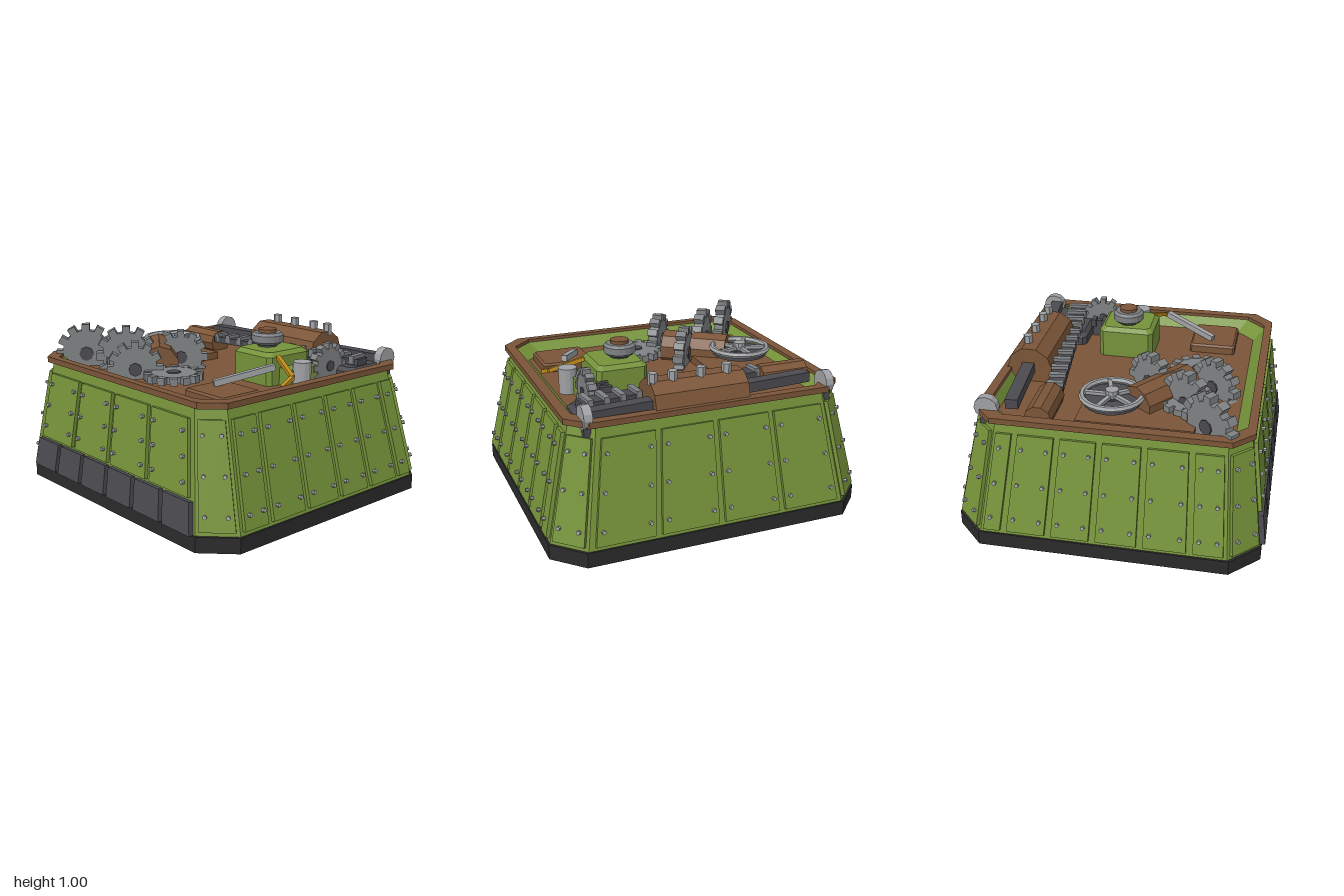
import * as THREE from 'three';
import { mergeGeometries } from 'three/addons/utils/BufferGeometryUtils.js';

const mat = (name, color) => {
  const m = new THREE.MeshStandardMaterial({ color });
  m.name = name;
  return m;
};
const V = (x, y, z) => new THREE.Vector3(x, y, z);

// Flat normals for the faceted style
function facet(geo) {
  const g = geo.index ? geo.toNonIndexed() : geo;
  g.deleteAttribute('uv');
  g.computeVertexNormals();
  return g;
}

// Chamfered rectangle; edges run front, corner, right, corner, back, corner, left, corner
function octagon(hx, zf, zb, c, y) {
  return [[c - hx, zf], [hx - c, zf], [hx, zf - c], [hx, zb + c],
    [hx - c, zb], [c - hx, zb], [-hx, zb + c], [-hx, zf - c]].map(([x, z]) => V(x, y, z));
}

// Skin between successive loops, with optional end caps
function loft(loops, capStart = false, capEnd = false) {
  const pts = [];
  const n = loops[0].length;
  const cap = (loop, flip) => {
    for (let i = 1; i < n - 1; i++) pts.push(loop[0], loop[flip ? i + 1 : i], loop[flip ? i : i + 1]);
  };
  for (let k = 0; k < loops.length - 1; k++) {
    for (let i = 0; i < n; i++) {
      const j = (i + 1) % n, a = loops[k], b = loops[k + 1];
      pts.push(a[i], a[j], b[j], a[i], b[j], b[i]);
    }
  }
  if (capStart) cap(loops[0], true);
  if (capEnd) cap(loops[loops.length - 1], false);
  return facet(new THREE.BufferGeometry().setFromPoints(pts));
}

export function createModel() {
  const root = new THREE.Group();
  root.name = 'armouredMachineBase';
  const green = mat('green paint', 0x76933a);
  const brown = mat('brown metal', 0x7b5538);
  const black = mat('black base', 0x2b2b2b);
  const dark = mat('dark metal', 0x4b4a50);
  const steel = mat('steel', 0x7f8284);
  const light = mat('light steel', 0x9fa1a4);
  const yellow = mat('yellow pipe', 0xc08c1c);

  const add = (name, geo, material, pos = [0, 0, 0], rot = [0, 0, 0], parent = root) => {
    const m = new THREE.Mesh(facet(geo), material);
    m.name = name;
    m.position.set(...pos);
    m.rotation.set(...rot);
    parent.add(m);
    return m;
  };
  const box = (name, material, x0, x1, y0, y1, z0, z1) =>
    add(name, new THREE.BoxGeometry(x1 - x0, y1 - y0, z1 - z0), material,
      [(x0 + x1) / 2, (y0 + y1) / 2, (z0 + z1) / 2]);
  // Box with a bevelled top
  const bevelBox = (name, material, x0, x1, y0, y1, z0, z1, b = 0.025) => {
    const hx = (x1 - x0) / 2, hz = (z1 - z0) / 2;
    add(name, loft([octagon(hx, hz, -hz, b, y0), octagon(hx, hz, -hz, b, y1 - b),
      octagon(hx - b, hz - b, b - hz, b, y1)], true, true), material, [(x0 + x1) / 2, 0, (z0 + z1) / 2]);
  };
  const cyl = (r, h, n = 12, r2 = r) => new THREE.CylinderGeometry(r2, r, h, n);
  const bar = (name, material, a, b, w, h) => {
    const m = add(name, new THREE.BoxGeometry(w, h, a.distanceTo(b)), material,
      a.clone().lerp(b, 0.5).toArray());
    m.lookAt(b);
    return m;
  };

  // Base slab, sloping hull with inner wall, rim and deck
  add('base', loft([octagon(0.975, 0.9, -0.9, 0.17, 0), octagon(0.975, 0.9, -0.9, 0.17, 0.09)], true, true), black);
  const low = octagon(0.965, 0.89, -0.89, 0.17, 0.085);
  const high = octagon(0.81, 0.8, -0.75, 0.12, 0.76);
  add('hull', loft([low, high]), green);
  add('innerWall', loft([octagon(0.785, 0.77, -0.72, 0.12, 0.77), octagon(0.71, 0.7, -0.68, 0.11, 0.7)]), green);
  add('rim', loft([octagon(0.79, 0.78, -0.73, 0.11, 0.755), octagon(0.845, 0.82, -0.77, 0.115, 0.755),
    octagon(0.845, 0.82, -0.77, 0.115, 0.79), octagon(0.785, 0.77, -0.715, 0.115, 0.79),
    octagon(0.785, 0.77, -0.715, 0.115, 0.755)]), brown);
  add('deck', loft([octagon(0.73, 0.72, -0.7, 0.11, 0.68), octagon(0.73, 0.72, -0.7, 0.11, 0.705)], true, true), brown);

  // Riveted armour panels on the eight hull faces
  const panels = [], skirt = [], bolts = [];
  const wallPoint = (i, u, v) => {
    const j = (i + 1) % 8;
    return low[i].clone().lerp(low[j], u).lerp(high[i].clone().lerp(high[j], u), v);
  };
  const wallNormal = (i) => {
    const o = wallPoint(i, 0, 0);
    return wallPoint(i, 1, 0).sub(o).cross(wallPoint(i, 0, 1).sub(o)).normalize();
  };
  const plate = (i, u0, u1, v0, v1, t) => {
    const inner = [[u0, v0], [u1, v0], [u1, v1], [u0, v1]].map(([u, v]) => wallPoint(i, u, v));
    const n = wallNormal(i).multiplyScalar(t);
    return loft([inner, inner.map((p) => p.clone().add(n))], false, true);
  };
  const bolt = (i, u, v) => {
    const n = wallNormal(i);
    const p = wallPoint(i, u, v).addScaledVector(n, 0.024);
    const g = facet(cyl(0.012, 0.034, 6));
    g.applyQuaternion(new THREE.Quaternion().setFromUnitVectors(V(0, 1, 0), n));
    bolts.push(g.translate(p.x, p.y, p.z));
  };
  const sideCuts = [0, 0.147, 0.346, 0.538, 0.72, 0.904, 1];
  const quarters = [0.01, 0.255, 0.5, 0.745, 0.99];
  const cuts = [quarters, [0, 1], sideCuts, [0, 1], quarters, [0, 1], sideCuts.map((u) => 1 - u).reverse(), [0, 1]];
  cuts.forEach((cut, i) => {
    const width = low[i].distanceTo(low[(i + 1) % 8]);
    const gap = 0.02 / width, inset = 0.055 / width;
    const v0 = i === 0 ? 0.29 : 0.04;
    const rows = i === 0 ? [0.4, 0.6, 0.8] : [0.16, 0.47, 0.78];
    for (let k = 0; k < cut.length - 1; k++) {
      panels.push(plate(i, cut[k] + gap, cut[k + 1] - gap, v0, 0.9, 0.022));
      for (const v of rows) {
        bolt(i, cut[k] + inset, v);
        if (cut[k + 1] - cut[k] > 0.12) bolt(i, cut[k + 1] - inset, v);
      }
    }
  });
  for (let k = 0; k < 6; k++) skirt.push(plate(0, k / 6 + 0.01, (k + 1) / 6 - 0.01, 0, 0.265, 0.03));
  add('armourPanels', mergeGeometries(panels), green);
  add('frontSkirtPlates', mergeGeometries(skirt), dark);
  add('armourBolts', mergeGeometries(bolts), light);

  // Toothed gears (axis along local z)
  const gear = (name, r, w, teeth, pos, rot) => {
    const g = new THREE.Group();
    g.name = name;
    const parts = [facet(cyl(r * 0.8, w, 20).rotateX(Math.PI / 2))];
    for (let k = 0; k < teeth; k++) {
      const tooth = new THREE.BoxGeometry(r * 0.26, r * 0.26, w * 1.1).translate(0, r * 0.87, 0);
      parts.push(facet(tooth.rotateZ((k / teeth) * Math.PI * 2)));
    }
    add('gearWheel', mergeGeometries(parts), steel, [0, 0, 0], [0, 0, 0], g);
    add('gearHub', cyl(r * 0.24, w * 1.3, 8).rotateX(Math.PI / 2), dark, [0, 0, 0], [0, 0, 0], g);
    g.position.set(...pos);
    g.rotation.set(...rot);
    root.add(g);
  };
  const turn = [0, 0.93, 0];
  gear('outerGear', 0.19, 0.06, 12, [-0.68, 0.785, 0.56], turn);
  gear('middleGear', 0.19, 0.06, 12, [-0.45, 0.785, 0.41], turn);
  gear('innerGear', 0.17, 0.06, 12, [-0.21, 0.78, 0.16], turn);
  gear('frontGear', 0.17, 0.06, 12, [-0.18, 0.765, 0.54], turn);
  gear('sideGear', 0.14, 0.045, 12, [0.605, 0.79, -0.32], [0, Math.PI / 2, 0]);
  gear('flatGear', 0.18, 0.04, 14, [0.03, 0.74, 0.41], [Math.PI / 2, 0, 0]);
  gear('hiddenFlatGear', 0.17, 0.04, 14, [-0.39, 0.765, 0.4], [Math.PI / 2, 0, 0]);

  // Gear motor and its bed
  box('motorBed', brown, -0.71, -0.26, 0.7, 0.75, -0.2, 0.48);
  add('motor', cyl(0.12, 0.42, 10).rotateX(Math.PI / 2), brown, [-0.33, 0.76, 0.24], turn);

  // Spoked hand wheel
  add('wheelBacking', cyl(0.17, 0.02, 20), dark, [-0.52, 0.8, -0.02]);
  add('wheelPost', cyl(0.05, 0.12, 8), dark, [-0.52, 0.76, -0.02]);
  add('wheelRim', new THREE.TorusGeometry(0.175, 0.019, 6, 24).rotateX(Math.PI / 2), light, [-0.52, 0.83, -0.02]);
  add('wheelHub', cyl(0.04, 0.05, 10), light, [-0.52, 0.84, -0.02]);
  for (let k = 0; k < 5; k++) {
    add('wheelSpoke', new THREE.BoxGeometry(0.17, 0.02, 0.025).translate(0.085, 0, 0), light,
      [-0.52, 0.83, -0.02], [0, (k / 5) * Math.PI * 2 + 0.3, 0]);
  }

  // Boiler with top bolts, small tank and rear beam
  add('boiler', cyl(0.143, 0.57, 10).rotateZ(Math.PI / 2), brown, [0.055, 0.785, -0.6]);
  for (const x of [-0.13, 0.03, 0.2, 0.32]) add('boilerBolt', cyl(0.028, 0.07, 6), light, [x, 0.935, -0.63]);
  add('smallTank', cyl(0.08, 0.3, 10).rotateZ(Math.PI / 2), brown, [-0.61, 0.76, -0.4]);
  bar('rearBeam', dark, V(-0.69, 0.8, -0.57), V(0.72, 0.8, -0.68), 0.075, 0.06);
  bevelBox('engineBlock', dark, 0.32, 0.75, 0.7, 0.78, -0.72, -0.38);
  for (const s of [-1, 1]) {
    add('cornerPulley', cyl(0.07, 0.05, 12).rotateZ(Math.PI / 2), light, [s * 0.735, 0.8, -0.7]);
    box('pulleyBracket', dark, s * 0.735 - 0.02, s * 0.735 + 0.02, 0.68, 0.8, -0.74, -0.66);
  }

  // Slatted track
  const trackA = V(-0.45, 0.79, -0.38), trackB = V(0.71, 0.8, -0.52);
  bar('track', dark, trackA, trackB, 0.1, 0.04);
  for (let k = 0; k < 12; k++) {
    const p = trackA.clone().lerp(trackB, (k + 0.2) / 11.6);
    const slat = add('trackSlat', new THREE.BoxGeometry(0.035, 0.05, 0.1 + k * 0.003), steel, p.toArray());
    slat.rotation.y = 0.12;
    slat.position.y += 0.015;
  }

  // Green valve box with capped outlet
  bevelBox('valveBox', green, 0.2, 0.515, 0.7, 0.9, -0.26, 0.085);
  add('capNeck', cyl(0.06, 0.04), dark, [0.32, 0.91, -0.09]);
  add('cap', new THREE.LatheGeometry([[0, 0], [0.08, 0], [0.096, 0.015], [0.096, 0.055], [0.08, 0.07], [0, 0.07]]
    .map(([x, y]) => new THREE.Vector2(x, y)), 16), steel, [0.32, 0.915, -0.09]);
  add('capPlug', cyl(0.056, 0.03), brown, [0.32, 0.99, -0.09]);
  box('sideValve', green, 0.515, 0.62, 0.7, 0.81, -0.22, 0);
  add('valvePost', cyl(0.056, 0.16), light, [0.64, 0.78, -0.06]);
  add('clampPost', new THREE.BoxGeometry(0.03, 0.11, 0.1), dark, [0.5, 0.76, -0.32]);
  for (const z of [-0.36, -0.29]) add('clampJaw', new THREE.BoxGeometry(0.07, 0.05, 0.03), dark, [0.5, 0.8, z]);

  // Bent pipe, loose rod and hatch
  const pipe = [V(0.51, 0.875, 0.01), V(0.71, 0.8, 0.09), V(0.725, 0.76, 0.19)];
  for (let k = 0; k < 2; k++) bar('yellowPipe', yellow, pipe[k], pipe[k + 1], 0.024, 0.024);
  bar('looseRod', light, V(0.605, 0.85, 0.13), V(0.44, 0.775, 0.45), 0.036, 0.036);
  bevelBox('hatch', brown, 0.36, 0.685, 0.7, 0.76, 0.31, 0.6, 0.012);

  return root;
}
